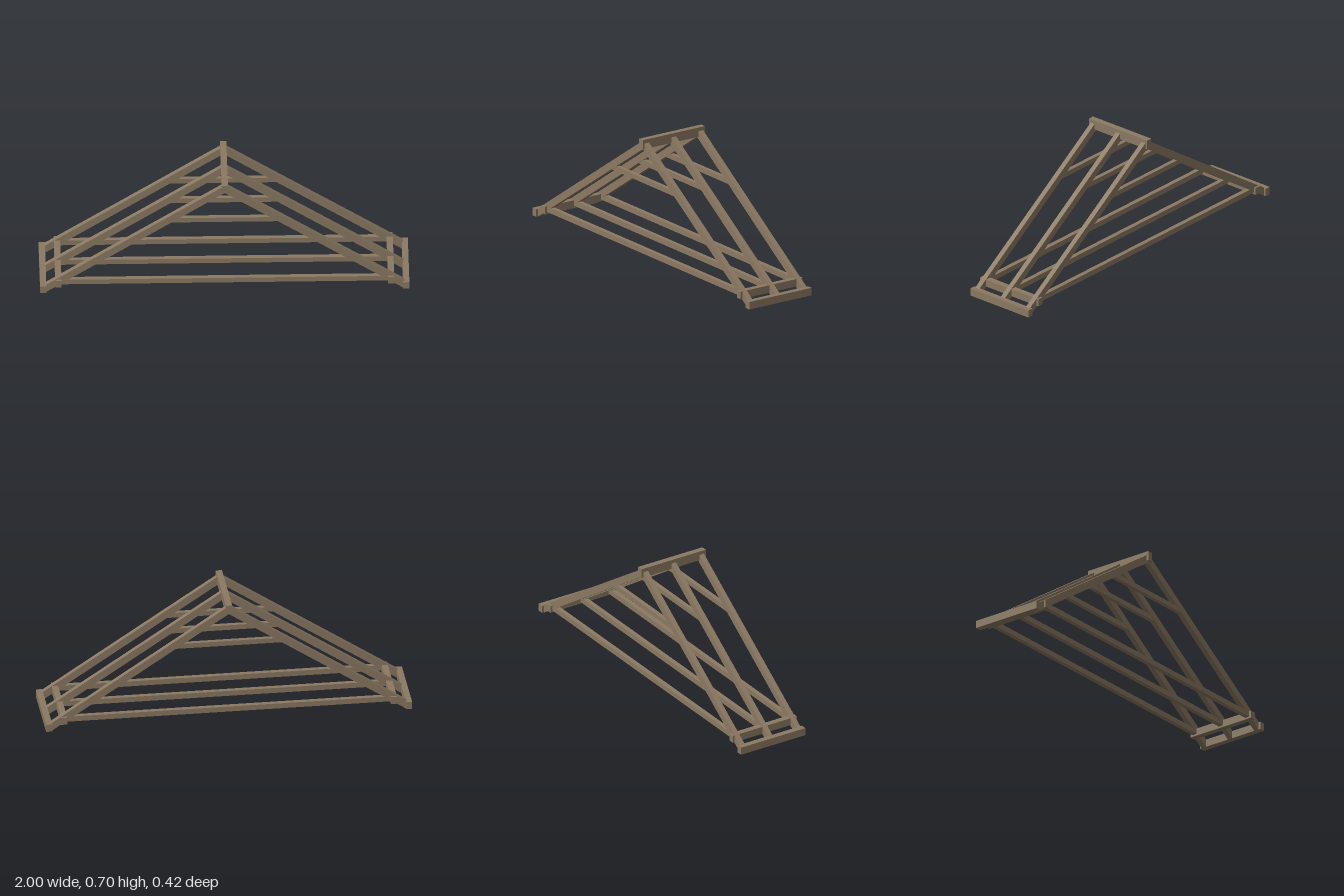
import * as THREE from 'three';

export function createModel() {
  const model = new THREE.Group();
  model.name = 'roofFrame';
  const wood = new THREE.MeshStandardMaterial({ color: 0x8b7962 });
  wood.name = 'weathered wood';

  // Straight timber given by its size and centre
  function beam(name, parent, [w, h, d], [x, y, z], tilt = 0) {
    const mesh = new THREE.Mesh(new THREE.BoxGeometry(w, h, d), wood);
    mesh.name = name;
    mesh.position.set(x, y, z);
    mesh.rotation.z = tilt;
    parent.add(mesh);
  }

  // Rafter centre line, from ridge to eave
  const ridgeY = 0.671, eaveX = 0.98, eaveY = 0.017;
  const length = Math.hypot(eaveX, ridgeY - eaveY);
  const pitch = Math.atan2(ridgeY - eaveY, eaveX);

  // Three trusses: two rafters, a tie and a collar each
  for (const z of [-0.181, 0, 0.181]) {
    const truss = new THREE.Group();
    truss.name = 'truss';
    truss.position.z = z;
    for (const side of [-1, 1]) {
      beam('rafter', truss, [length, 0.04, 0.029],
        [side * eaveX / 2, (ridgeY + eaveY) / 2, 0], -side * pitch);
    }
    beam('tieBeam', truss, [1.8, 0.03, 0.026], [0, 0.065, 0]);
    beam('collarBeam', truss, [0.58, 0.028, 0.024], [0, 0.467, 0]);
    model.add(truss);
  }

  // Lengthwise timbers joining the trusses
  const run = 0.416;
  beam('ridgeBeam', model, [0.034, 0.053, run], [0, 0.678, 0]);
  for (const side of [-1, 1]) {
    beam('wallPlate', model, [0.034, 0.042, run], [side * 0.901, 0.061, 0]);
    beam('eaveBeam', model, [0.034, 0.043, run], [side * 0.983, 0.0245, 0]);
  }
  return model;
}
